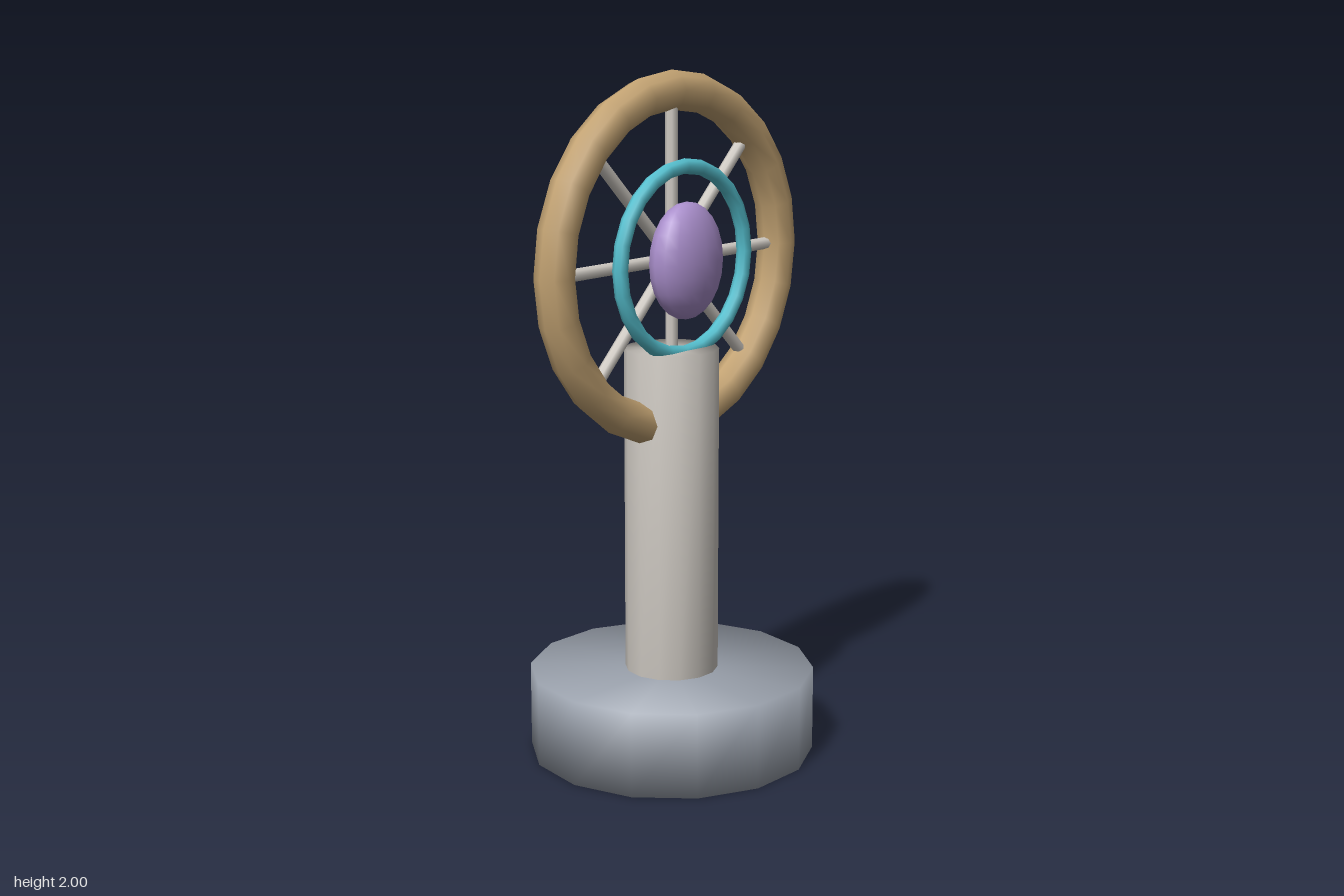
import * as THREE from 'three';
import { mergeVertices } from 'three/addons/utils/BufferGeometryUtils.js';

const HUB_Y = 1.467;

// Shared vertices give soft shading across the cylinder rims
function soften(geometry) {
  geometry.deleteAttribute('uv');
  geometry.deleteAttribute('normal');
  const merged = mergeVertices(geometry);
  merged.computeVertexNormals();
  return merged;
}

function part(parent, name, geometry, color, x = 0, y = 0, z = 0) {
  const mesh = new THREE.Mesh(geometry, new THREE.MeshStandardMaterial({ color }));
  mesh.name = name;
  mesh.position.set(x, y, z);
  parent.add(mesh);
  return mesh;
}

// Upright 14-sided cylinder with a corner on each side of the x axis
function drum(radius, height) {
  return soften(new THREE.CylinderGeometry(radius, radius, height, 14).rotateY(Math.PI / 2));
}

export function createModel() {
  const model = new THREE.Group();
  model.name = 'wheelOnPedestal';

  // Pedestal
  part(model, 'base', drum(0.42, 0.25), 0x9aa1ac, 0, 0.125, 0);
  part(model, 'column', drum(0.137, 0.97), 0xcfcac3, 0, 0.725, 0);

  // Wheel, standing upright and facing the front
  const wheel = new THREE.Group();
  wheel.name = 'wheel';
  wheel.position.y = HUB_Y;
  model.add(wheel);
  part(wheel, 'rim', new THREE.TorusGeometry(0.477, 0.056, 8, 24), 0xc2a272);
  part(wheel, 'innerRing', new THREE.TorusGeometry(0.267, 0.022, 8, 24), 0x55bfce, 0, 0, 0.047);

  // Eight spokes from the hub into the rim
  const spokeGeometry = new THREE.CylinderGeometry(0.018, 0.018, 0.45, 8).translate(0, 0.225, 0);
  for (let i = 0; i < 8; i++) {
    part(wheel, 'spoke', spokeGeometry, 0xcfcac3).rotation.z = (i * Math.PI) / 4;
  }

  // Oval boss in front of the hub
  const boss = new THREE.SphereGeometry(1, 16, 12).scale(0.136, 0.168, 0.077);
  part(wheel, 'boss', boss, 0xa98ecb, 0, 0, 0.056);

  return model;
}
